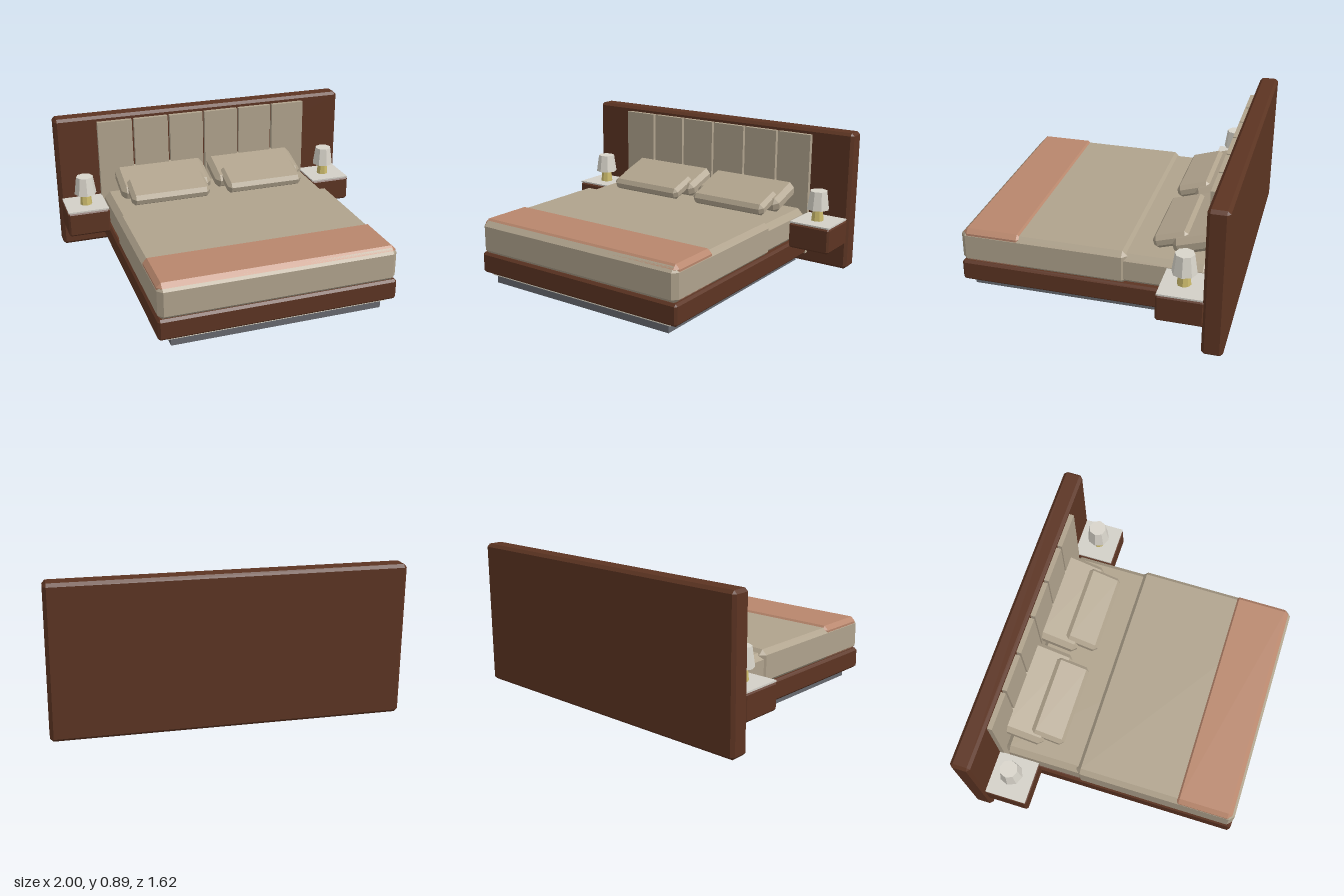
import * as THREE from 'three';
import { ConvexGeometry } from 'three/addons/geometries/ConvexGeometry.js';

const material = (name, color, flatShading = false) => {
  const m = new THREE.MeshStandardMaterial({ color, flatShading });
  m.name = name;
  return m;
};

// Box with a single flat chamfer on every edge
function chamferBox(w, h, d, c) {
  const points = [];
  for (const sx of [-1, 1]) for (const sy of [-1, 1]) for (const sz of [-1, 1]) {
    const x = w / 2, y = h / 2, z = d / 2;
    points.push(
      new THREE.Vector3(sx * x, sy * (y - c), sz * (z - c)),
      new THREE.Vector3(sx * (x - c), sy * y, sz * (z - c)),
      new THREE.Vector3(sx * (x - c), sy * (y - c), sz * z)
    );
  }
  return new ConvexGeometry(points);
}

export function createModel() {
  const bed = new THREE.Group();
  bed.name = 'bed';

  const wood = material('walnut', 0x5c3422);
  const fabric = material('linen', 0xafa28c);
  const terracotta = material('terracotta', 0xb8866c);
  const grey = material('plinthGrey', 0x66686e);
  const cream = material('lightStripCream', 0xece6d4);
  const stone = material('paleStone', 0xd2cfc7);
  const shade = material('lampShade', 0xd8d4ca, true);
  const brass = material('brass', 0xccbb6c, true);

  function add(name, geometry, mat, x, y, z, parent = bed) {
    const mesh = new THREE.Mesh(geometry, mat);
    mesh.name = name;
    mesh.position.set(x, y, z);
    parent.add(mesh);
    return mesh;
  }

  // Box given by its limits on each axis, chamfered when c > 0
  function block(name, mat, [x0, x1], [y0, y1], [z0, z1], c = 0, parent = bed) {
    const s = [x1 - x0, y1 - y0, z1 - z0];
    const geometry = c ? chamferBox(...s, c) : new THREE.BoxGeometry(...s);
    return add(name, geometry, mat, (x0 + x1) / 2, (y0 + y1) / 2, (z0 + z1) / 2, parent);
  }

  // Base and frame
  block('plinth', grey, [-0.645, 0.645], [0, 0.052], [-0.69, 0.765]);
  block('lightStrip', cream, [-0.665, 0.665], [0.05, 0.066], [-0.69, 0.78]);
  block('bedFrame', wood, [-0.725, 0.725], [0.065, 0.195], [-0.7, 0.81], 0.014);

  // Headboard with six upholstered panels
  block('headboard', wood, [-1, 1], [0.005, 0.89], [-0.81, -0.69], 0.018);
  const pitch = 0.2445;
  for (let i = 0; i < 6; i++) {
    const x = (i - 2.5) * pitch;
    block('headboardPanel', fabric, [x - 0.115, x + 0.115], [0.07, 0.855], [-0.695, -0.66]);
  }

  // Mattress and bedding
  block('mattress', fabric, [-0.71, 0.71], [0.185, 0.375], [-0.67, 0.77], 0.035);
  block('duvet', fabric, [-0.72, 0.72], [0.185, 0.395], [-0.2, 0.81], 0.03);
  block('throwBlanket', terracotta, [-0.718, 0.718], [0.185, 0.406], [0.435, 0.795], 0.026);

  for (const side of [-1, 1]) {
    // Pillows leaning back against the headboard
    const back = add('backPillow', chamferBox(0.61, 0.1, 0.29, 0.03), fabric, side * 0.322, 0.453, -0.58);
    const front = add('frontPillow', chamferBox(0.525, 0.08, 0.22, 0.024), fabric, side * 0.325, 0.437, -0.425);
    back.rotation.x = front.rotation.x = 0.3;

    // Floating bedside table
    const table = new THREE.Group();
    table.name = side > 0 ? 'leftBedsideTable' : 'rightBedsideTable';
    table.position.x = side * 0.855;
    bed.add(table);
    block('tableBody', wood, [-0.136, 0.136], [0.175, 0.337], [-0.7, -0.43], 0.012, table);
    block('tableTop', stone, [-0.132, 0.132], [0.335, 0.345], [-0.69, -0.435], 0, table);

    // Lamp
    const lamp = new THREE.Group();
    lamp.name = 'lamp';
    lamp.position.set(-side * 0.005, 0.345, -0.56);
    table.add(lamp);
    add('lampBase', new THREE.CylinderGeometry(0.032, 0.04, 0.085, 8), brass, 0, 0.0425, 0, lamp);
    add('lampShade', new THREE.CylinderGeometry(0.055, 0.072, 0.117, 8), shade, 0, 0.1325, 0, lamp);
  }

  return bed;
}
